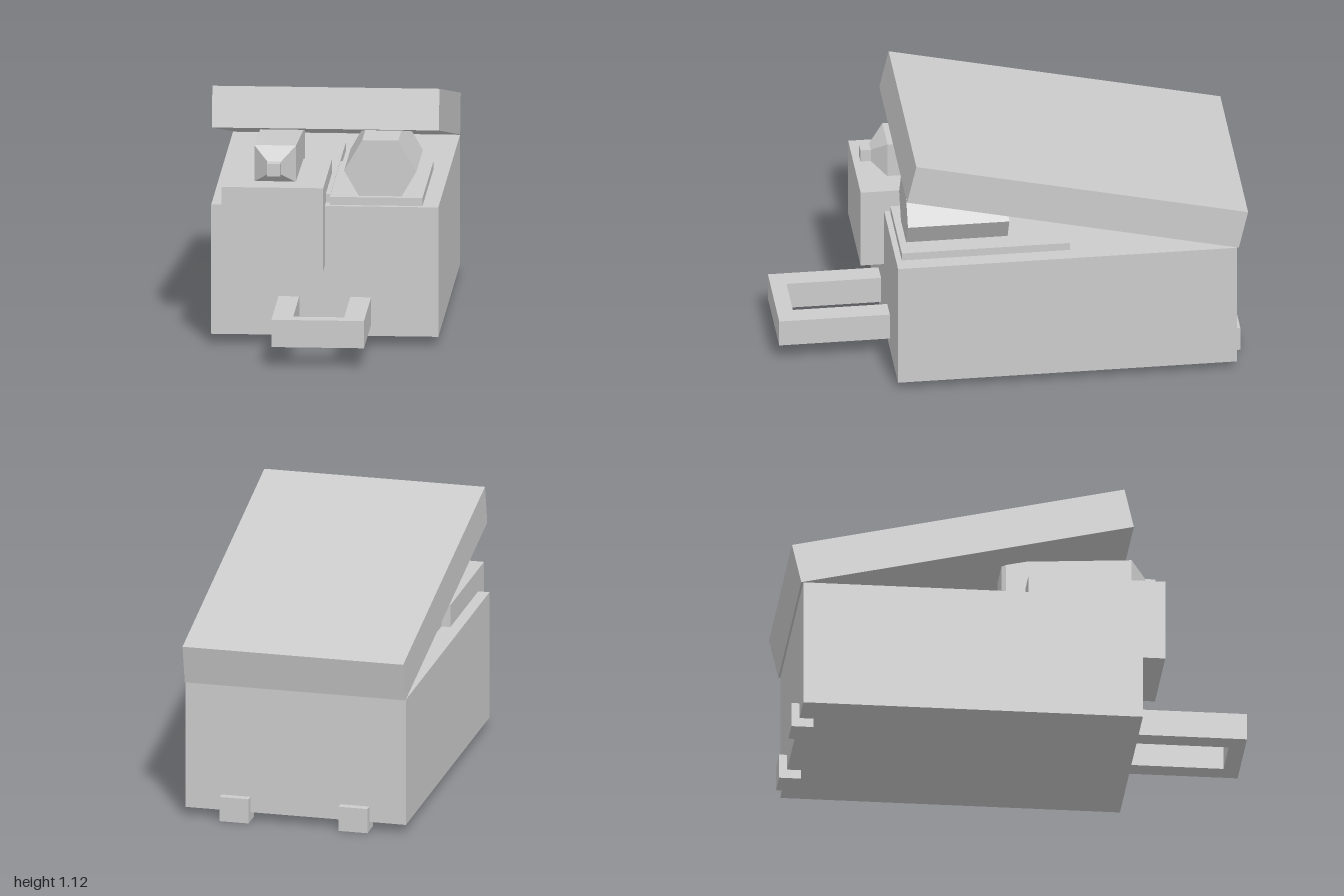
import * as THREE from 'three';

const material = new THREE.MeshStandardMaterial({ color: 0xcccccc, flatShading: true });

export function createModel() {
  const group = new THREE.Group();

  const add = (name, geometry) => {
    const mesh = new THREE.Mesh(geometry, material);
    mesh.name = name;
    group.add(mesh);
    return mesh;
  };

  // Box given by its limits on each axis
  const box = (name, x0, x1, y0, y1, z0, z1) => {
    const mesh = add(name, new THREE.BoxGeometry(x1 - x0, y1 - y0, z1 - z0));
    mesh.position.set((x0 + x1) / 2, (y0 + y1) / 2, (z0 + z1) / 2);
    return mesh;
  };

  // Rectangular sections [z, centreX, centreY, halfWidth, halfHeight], front to back
  const loft = (sections) => {
    const points = [];
    const index = [];
    for (const [z, x, y, w, h] of sections) {
      points.push(x - w, y - h, z, x + w, y - h, z, x + w, y + h, z, x - w, y + h, z);
    }
    for (let s = 0; s < sections.length - 1; s++) {
      for (let i = 0; i < 4; i++) {
        const a = s * 4 + i, b = s * 4 + (i + 1) % 4;
        index.push(a, a + 4, b, b, a + 4, b + 4);
      }
    }
    const e = (sections.length - 1) * 4;
    index.push(0, 1, 2, 0, 2, 3, e, e + 2, e + 1, e, e + 3, e + 2);
    const geometry = new THREE.BufferGeometry();
    geometry.setAttribute('position', new THREE.Float32BufferAttribute(points, 3));
    geometry.setIndex(index);
    const flat = geometry.toNonIndexed();
    flat.computeVertexNormals();
    return flat;
  };

  box('body', -0.49, 0.49, 0.04, 0.61, -0.95, 0.52);

  // Lid hinged at the back and raised at the front
  const lid = add('lid', new THREE.BoxGeometry(0.98, 0.18, 1.477));
  lid.position.set(0, 0.863, -0.259);
  lid.rotation.x = -0.226;

  // Front box and the low plates on the deck
  box('frontBox', -0.44, 0, 0.345, 0.71, 0.03, 0.622);
  box('leftPlate', 0.02, 0.42, 0.6, 0.645, -0.235, 0.495);
  box('rightPlate', -0.4, 0.02, 0.6, 0.648, -0.605, 0.45);

  // Six-sided drum lying along z
  const drum = new THREE.CylinderGeometry(0.156, 0.156, 0.44, 6, 1, false, Math.PI / 2);
  drum.rotateX(Math.PI / 2);
  add('drum', drum).position.set(0.236, 0.755, 0.245);

  // Square barrel with tapered front and knob
  add('barrel', loft([
    [0.6, -0.216, 0.782, 0.029, 0.028],
    [0.555, -0.216, 0.782, 0.029, 0.028],
    [0.49, -0.216, 0.788, 0.09, 0.08],
    [-0.055, -0.216, 0.76, 0.094, 0.072],
    [-0.073, -0.216, 0.76, 0.085, 0.062],
  ]));

  // U-shaped handle
  const outline = new THREE.Shape([
    [-0.2, 0.5], [-0.2, 1], [0.2, 1], [0.2, 0.5],
    [0.11, 0.5], [0.11, 0.93], [-0.11, 0.93], [-0.11, 0.5],
  ].map(([x, z]) => new THREE.Vector2(x, z)));
  const handle = new THREE.ExtrudeGeometry(outline, { depth: 0.12, bevelEnabled: false });
  handle.rotateX(Math.PI / 2);
  add('handle', handle).position.y = 0.21;

  // Rear feet
  for (const side of [-1, 1]) {
    const foot = box('rearFoot', 0.2, 0.328, 0, 0.11, -0.985, -0.89);
    foot.position.x *= side;
  }

  return group;
}
